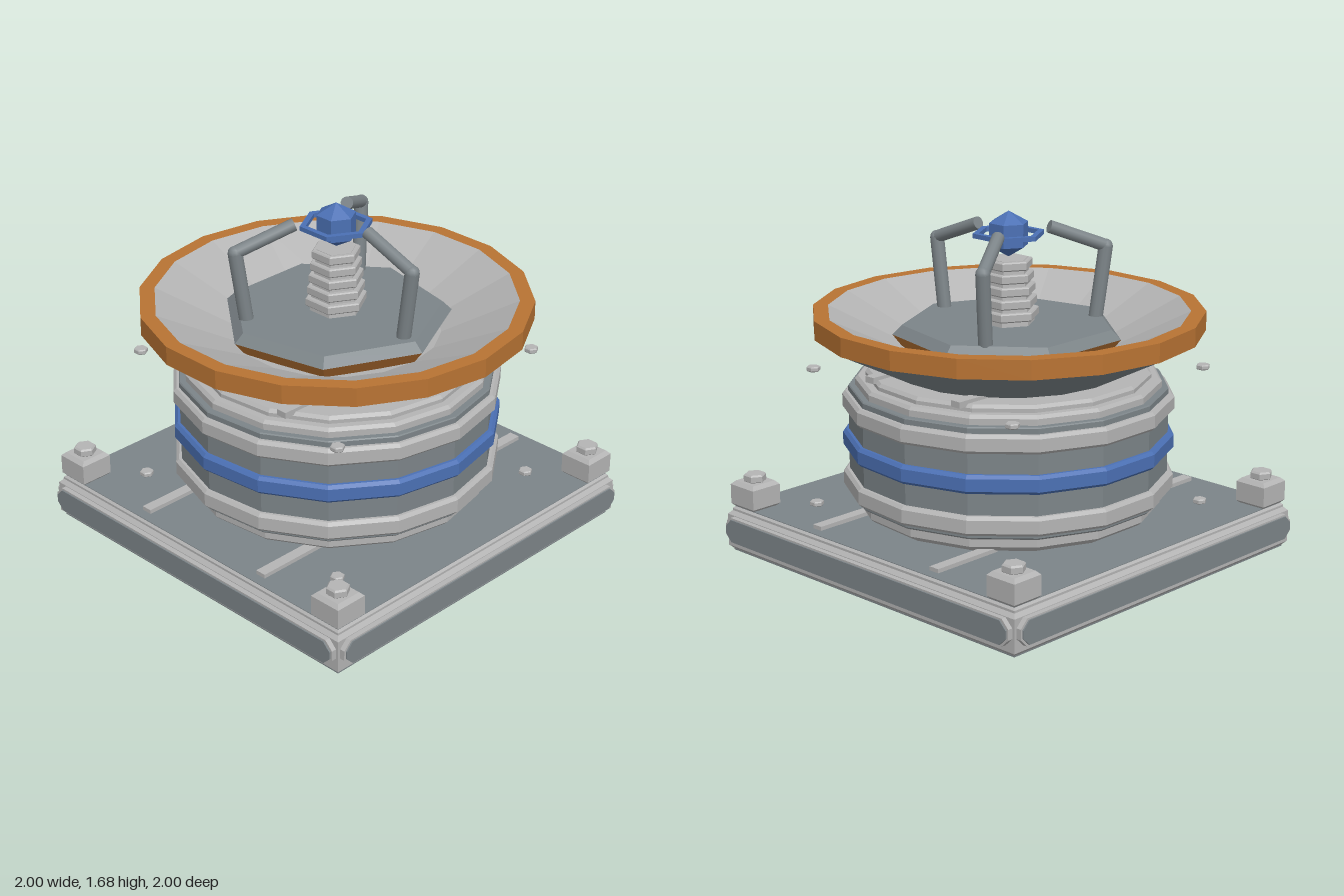
import * as THREE from 'three';

const mat = (name, color) => Object.assign(new THREE.MeshStandardMaterial({ color }), { name });

export function createModel() {
  const root = new THREE.Group();
  const light = mat('light steel', 0xb4b4b4);
  const dark = mat('dark steel', 0x7c8488);
  const blue = mat('blue enamel', 0x4b70b4);
  const copper = mat('copper', 0xb87333);

  const flat = (g) => {
    const f = g.index ? g.toNonIndexed() : g;
    f.computeVertexNormals();
    return f;
  };
  const add = (name, geo, m, x = 0, y = 0, z = 0) => {
    const mesh = new THREE.Mesh(geo, m);
    mesh.name = name;
    mesh.position.set(x, y, z);
    root.add(mesh);
    return mesh;
  };
  // Faceted turned part, first corner on +x; profile runs up the outside
  const turned = (name, sides, m, pts) => add(name, flat(new THREE.LatheGeometry(
    pts.map(([r, y]) => new THREE.Vector2(r, y)), sides, Math.PI / 2)), m);
  // Turned disc with chamfered edges
  const disc = (name, sides, m, r, y0, y1, c = 0.015) => turned(name, sides, m,
    [[0, y0], [r - c, y0], [r, y0 + c], [r, y1 - c], [r - c, y1], [0, y1]]);
  const box = (name, m, w, h, d, x, y, z) => add(name, new THREE.BoxGeometry(w, h, d), m, x, y, z);
  // Block with chamfered upper and lower edges
  const chamferBlock = (name, m, half, y0, y1, c, x = 0, z = 0) => {
    const k = Math.SQRT2;
    const g = new THREE.LatheGeometry([[0, y0], [half - c, y0], [half, y0 + c], [half, y1 - c],
      [half - c, y1], [0, y1]].map(([r, y]) => new THREE.Vector2(r * k, y)), 4, Math.PI / 4);
    return add(name, flat(g), m, x, 0, z);
  };

  // Square base
  chamferBlock('baseFrame', light, 0.968, 0.005, 0.205, 0.02);
  chamferBlock('baseTopTrim', light, 0.95, 0.19, 0.224, 0.01);
  box('baseTopPlate', dark, 1.88, 0.006, 1.88, 0, 0.224, 0);
  box('baseBottomPlate', dark, 1.9, 0.006, 1.9, 0, 0.003, 0);

  // Long eight-sided panels on the four sides
  const panelShape = (w, h, c) => new THREE.Shape([
    [-w, -h + c], [-w + c, -h], [w - c, -h], [w, -h + c],
    [w, h - c], [w - c, h], [-w + c, h], [-w, h - c],
  ].map(([x, y]) => new THREE.Vector2(x, y)));
  const rimGeo = new THREE.ExtrudeGeometry(panelShape(0.955, 0.065, 0.04), { depth: 0.04, bevelEnabled: false });
  const faceGeo = new THREE.ExtrudeGeometry(panelShape(0.945, 0.057, 0.038), { depth: 0.007, bevelEnabled: false });
  for (let i = 0; i < 4; i++) {
    const a = i * Math.PI / 2;
    [['sidePanelRim', rimGeo, light, 0.953], ['sidePanel', faceGeo, dark, 0.993]].forEach(([n, g, m, d]) => {
      add(n, g, m, Math.sin(a) * d, 0.117, Math.cos(a) * d).rotation.y = a;
    });
  }

  // Corner blocks with nuts, loose bolts and bars
  for (const sx of [-1, 1]) for (const sz of [-1, 1]) {
    const x = sx * 0.87, z = sz * 0.87;
    chamferBlock('cornerBlock', light, 0.084, 0.222, 0.355, 0.018, x, z);
    disc('cornerNut', 6, light, 0.055, 0.35, 0.393, 0.008).position.set(x, 0, z);
    for (const y of [0.225, 0.905]) {
      disc('bolt', 6, light, 0.034, y, y + 0.025, 0.005).position.set(sx * 0.66, 0, sz * 0.66);
    }
    box('lowerBar', light, 0.055, 0.025, 0.38, sx * 0.395, 0.234, sz * 0.7);
    box('upperBar', light, 0.055, 0.03, 0.24, sx * 0.285, 0.93, sz * 0.52);
  }

  // Fifteen-sided drum with stepped ends and three bands
  const N = 15;
  disc('drum', N, dark, 0.768, 0.32, 0.85, 0.005);
  disc('drumFoot', N, light, 0.7, 0.235, 0.28);
  disc('drumLowerStep', N, light, 0.735, 0.255, 0.325);
  disc('drumLowerLip', N, light, 0.765, 0.315, 0.345, 0.008);
  disc('lowerBand', N, light, 0.797, 0.34, 0.433);
  disc('middleBand', N, blue, 0.797, 0.54, 0.63);
  disc('upperBand', N, light, 0.797, 0.73, 0.82);
  disc('drumUpperLip', N, light, 0.765, 0.815, 0.845, 0.008);
  disc('drumUpperStep', N, light, 0.735, 0.835, 0.895);
  disc('drumCap', N, light, 0.685, 0.88, 0.928);

  // Eighteen-sided dish
  turned('dishUnderside', 18, dark, [[0, 0.92], [0.54, 0.92], [0.93, 1.12]]);
  turned('dishRim', 18, copper, [[0.865, 1.12], [0.937, 1.12], [0.937, 1.212], [0.865, 1.212]]);
  turned('dishInside', 18, light, [[0.865, 1.212], [0.5, 1.035], [0, 0.98]]);

  // Seven-sided plate inside the dish
  turned('hubEdge', 7, copper, [[0.5, 1.03], [0.555, 1.1]]);
  turned('hubPlate', 7, dark, [[0.555, 1.1], [0.51, 1.145], [0, 1.145]]);

  // Tapered stack of hexagonal fins
  turned('finCore', 6, light, [[0.13, 1.14], [0.095, 1.455], [0, 1.455]]);
  for (let i = 0; i < 5; i++) {
    const y = 1.17 + i * 0.06;
    disc('fin', 6, light, 0.15 - i * 0.008, y, y + 0.043, 0.006);
  }

  // Blue tip and the hexagonal ring around it
  add('tip', flat(new THREE.SphereGeometry(0.11, 6, 3)), blue, 0, 1.572, 0);
  turned('tipRing', 6, blue, [[0.145, 1.56], [0.175, 1.56], [0.175, 1.582], [0.145, 1.582], [0.145, 1.56]]);

  // Three jointed arms
  const up = new THREE.Vector3(0, 1, 0);
  const rod = (parent, name, a, b, r) => {
    const p = new THREE.Vector3(...a), d = new THREE.Vector3(...b).sub(p);
    const mesh = new THREE.Mesh(new THREE.CylinderGeometry(r, r, d.length(), 12), dark);
    mesh.name = name;
    mesh.position.copy(p).addScaledVector(d, 0.5);
    mesh.quaternion.setFromUnitVectors(up, d.normalize());
    parent.add(mesh);
  };
  for (let i = 0; i < 3; i++) {
    const arm = new THREE.Group();
    arm.name = 'arm';
    rod(arm, 'lowerArm', [0.435, 1.13, 0], [0.483, 1.485, 0], 0.035);
    rod(arm, 'upperArm', [0.485, 1.485, 0], [0.2, 1.595, 0], 0.031);
    const elbow = new THREE.Mesh(new THREE.SphereGeometry(0.035, 12, 8), dark);
    elbow.name = 'elbow';
    elbow.position.set(0.483, 1.483, 0);
    arm.add(elbow);
    arm.rotation.y = i * Math.PI * 2 / 3;
    root.add(arm);
  }
  return root;
}
